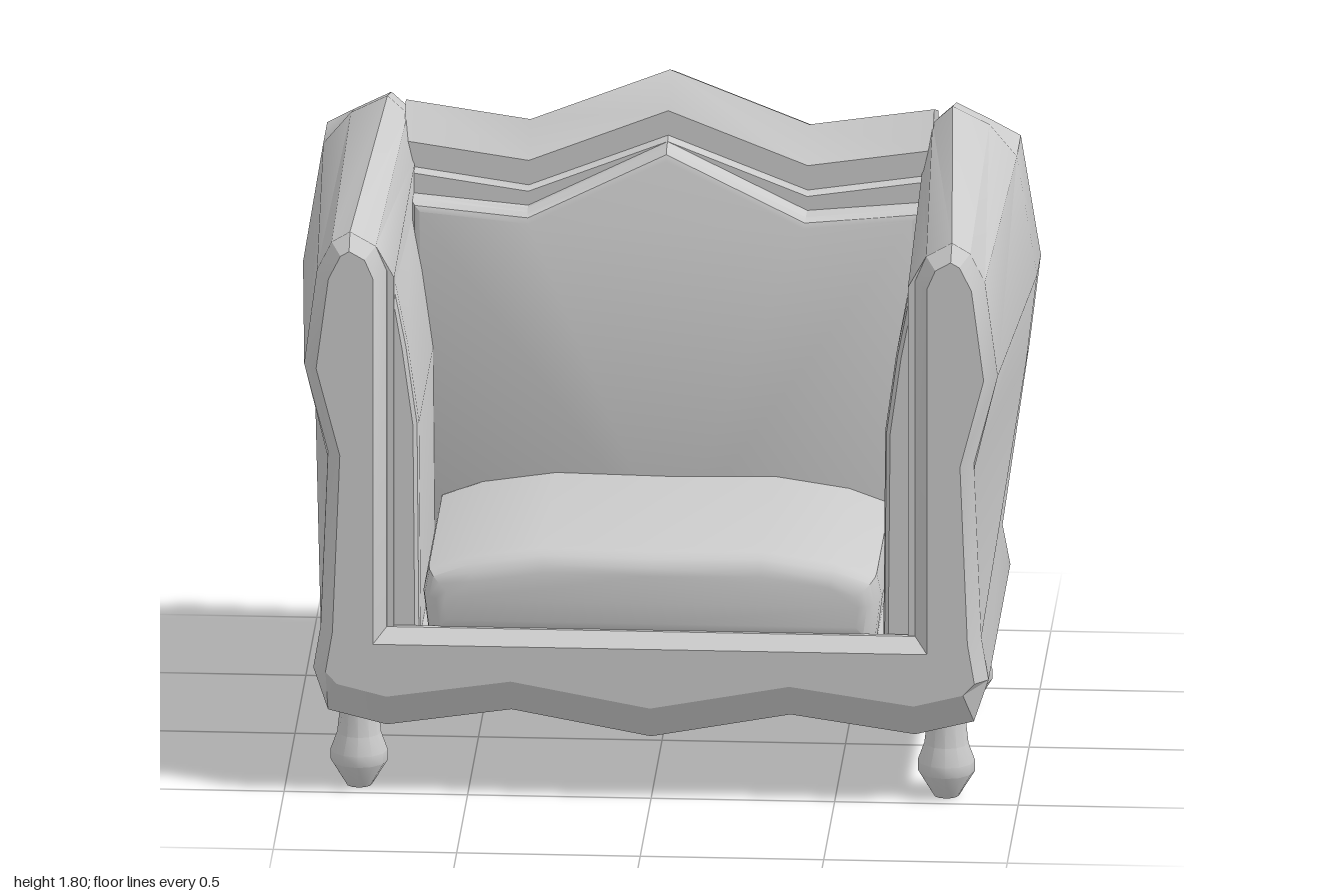
import * as THREE from 'three';
import { toCreasedNormals } from 'three/addons/utils/BufferGeometryUtils.js';

const material = new THREE.MeshStandardMaterial({ color: 0xcccccc, roughness: 0.8 });

function part(name, geometry, crease = 0.55) {
  const flat = geometry.index ? geometry.toNonIndexed() : geometry;
  const mesh = new THREE.Mesh(toCreasedNormals(flat, crease), material);
  mesh.name = name;
  return mesh;
}

// Skin closed rings of [x, y, z] points; the ends are fans from the first point.
function loft(rings, flip = false) {
  const n = rings[0].length, index = [];
  const tri = (a, b, c) => (flip ? index.push(a, c, b) : index.push(a, b, c));
  for (let r = 0; r < rings.length - 1; r++) {
    for (let i = 0; i < n; i++) {
      const j = (i + 1) % n, a = r * n, b = a + n;
      tri(a + i, a + j, b + j);
      tri(a + i, b + j, b + i);
    }
  }
  const last = (rings.length - 1) * n;
  for (let i = 1; i < n - 1; i++) {
    tri(0, i + 1, i);
    tri(last, last + i, last + i + 1);
  }
  const g = new THREE.BufferGeometry();
  g.setAttribute('position', new THREE.Float32BufferAttribute(rings.flat(2), 3));
  g.setIndex(index);
  return g;
}

// Extrude an outline between two depths with inset bevels.
function slab(points, z0, z1, bevel, thickness, segments) {
  const shape = new THREE.Shape(points.map(p => new THREE.Vector2(...p)));
  const g = new THREE.ExtrudeGeometry(shape, {
    depth: z1 - z0 - 2 * thickness, bevelEnabled: true, bevelSize: bevel,
    bevelOffset: -bevel, bevelThickness: thickness, bevelSegments: segments,
  });
  return g.translate(0, 0, z0 + thickness);
}

// The same from a right-half outline mirrored in x.
function symmetricSlab(half, ...rest) {
  const mirrored = half.filter(p => p[0] > 0).map(([x, y]) => [-x, y]).reverse();
  return slab([...half, ...mirrored], ...rest);
}

// Depth of the outer back surface at a given height.
function rearZ(y) {
  const k = [[0.18, -0.46], [0.24, -0.47], [0.36, -0.49], [0.48, -0.47], [1.2, -0.545], [1.8, -0.555]];
  const i = k.findIndex(p => y <= p[0]);
  return THREE.MathUtils.mapLinear(y, k[i - 1][0], k[i][0], k[i - 1][1], k[i][1]);
}

export function createModel() {
  const chair = new THREE.Group();
  chair.name = 'armchair';

  // Back and base: an L section swept across the scalloped top and bottom
  const stations = [[0, 1.8, 0.18], [0.38, 1.65, 0.25], [0.72, 1.7, 0.205]];
  const all = [...stations.slice(1).reverse().map(([x, t, b]) => [-x, t, b]), ...stations];
  const backRings = all.map(([x, top, low]) => [
    [0.45, -0.26], [0.45, 0.48], [low, 0.48], [low, -0.46], [low + 0.06, -0.47],
    [0.36, -0.49], [0.48, -0.47], [0.85, -0.51], [1.2, -0.545], [top - 0.14, -0.548],
    [top - 0.13, -0.556], [top - 0.065, -0.556], [top, -0.37],
    [top - 0.09, -0.285], [top - 0.16, -0.285], [top - 0.17, -0.26],
  ].map(([y, z]) => [x, y, z]));
  chair.add(part('backAndBase', loft(backRings)));

  // Arms: front outline (x, y) and back outline (x, y) joined in depth
  const armOutline = [
    [0.70, 0.21, 0.70, 0.21], [0.88, 0.24, 0.88, 0.24], [0.92, 0.36, 0.92, 0.36],
    [0.90, 0.48, 0.90, 0.48], [0.88, 0.98, 0.97, 0.98], [0.945, 1.23, 1.0, 1.23],
    [0.91, 1.5, 0.945, 1.57], [0.87, 1.58, 0.87, 1.66], [0.82, 1.61, 0.77, 1.71],
    [0.75, 1.57, 0.715, 1.66], [0.70, 1.48, 0.69, 1.55],
  ];
  // Inner pad section, thin at the top
  const padOutline = [[0.72, 0.45], [0.72, 1.47], [0.70, 1.45], [0.665, 1.27], [0.635, 1.05], [0.63, 0.45]];
  for (const side of [1, -1]) {
    const name = side > 0 ? 'left' : 'right';
    const rings = [
      armOutline.map(([x, y]) => [side * x, y, 0.504]),
      armOutline.map(([, , x, y]) => [side * x, y, -0.37]),
      armOutline.map(([, , x, y]) => [side * x, y > 1.6 ? y - 0.05 : y, rearZ(y)]),
    ];
    chair.add(part(name + 'Arm', loft(rings, side > 0)));
    const pad = padOutline.map(([x, y]) => [side * x, y]);
    chair.add(part(name + 'ArmPad', slab(pad, -0.27, 0.48, 0.015, 0.03, 2)));
  }

  // U-shaped front frame with a scalloped lower edge
  const frame = symmetricSlab([
    [0, 0.18], [0.38, 0.25], [0.72, 0.2], [0.88, 0.24], [0.92, 0.36], [0.9, 0.48],
    [0.88, 0.98], [0.945, 1.23], [0.91, 1.5], [0.87, 1.58], [0.82, 1.61], [0.75, 1.57],
    [0.72, 1.5], [0.72, 0.48],
  ], 0.44, 0.556, 0.035, 0.05, 1);
  const fp = frame.attributes.position;
  for (let i = 0; i < fp.count; i++) {
    // Wider bevel along the lower edge
    if (fp.getZ(i) > 0.55 && fp.getY(i) < 0.33) fp.setY(i, fp.getY(i) + 0.06);
  }
  chair.add(part('frontFrame', frame, 0.4));

  // Cushions
  chair.add(part('backCushion', symmetricSlab(
    [[0, 0.45], [0.7, 0.45], [0.7, 1.47], [0.38, 1.44], [0, 1.63]], -0.36, -0.19, 0.03, 0.05, 3)));
  chair.add(part('seatCushion', symmetricSlab(
    [[0, 0.44], [0.61, 0.44], [0.625, 0.56], [0.61, 0.63], [0.5, 0.67], [0.3, 0.7], [0, 0.695]],
    -0.26, 0.5, 0.06, 0.08, 4), 0.7));

  // Turned feet
  const footProfile = [[0, 0], [0.035, 0], [0.078, 0.07], [0.078, 0.1], [0.06, 0.15], [0.048, 0.26]]
    .map(p => new THREE.Vector2(...p));
  for (const x of [-0.8, 0.8]) {
    for (const z of [0.42, -0.37]) {
      const foot = part(z > 0 ? 'frontFoot' : 'backFoot', new THREE.LatheGeometry(footProfile, 12));
      foot.position.set(x, 0, z);
      chair.add(foot);
    }
  }
  return chair;
}
